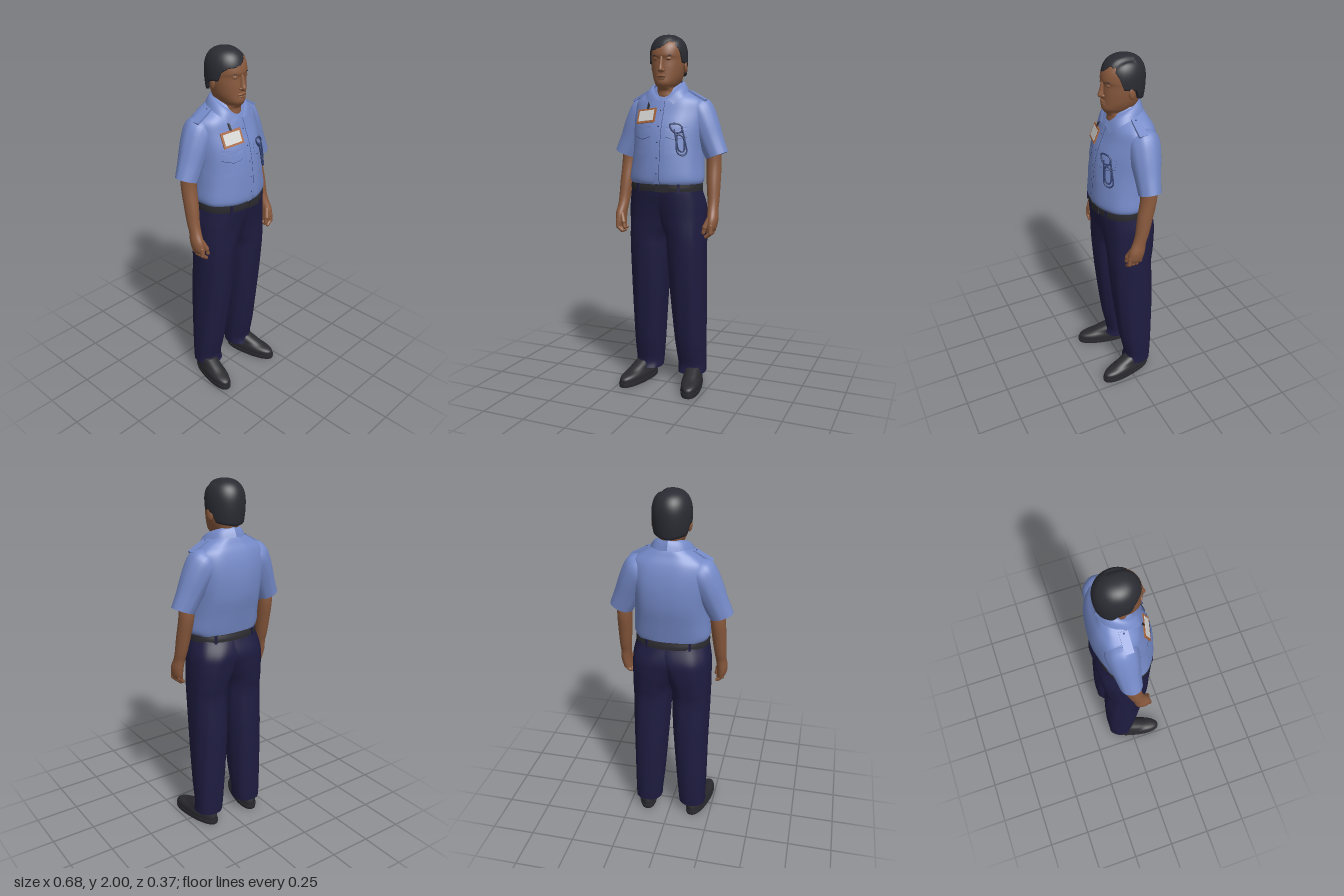
import * as THREE from 'three';

const mat = (name, color, side = THREE.FrontSide) => {
  const m = new THREE.MeshStandardMaterial({ color, side });
  m.name = name;
  return m;
};

// Ring from y, half width, front z, back z and centre x
const R = (y, rx, front, back, cx = 0) => [cx, y, (front + back) / 2, rx, (front - back) / 2, 0];
const mirrorRings = (rings, s) => rings.map(r => [r[0] * s, r[1], r[2], r[3], r[4], r[5] * s]);

// Smooth in-between rings through the given ones
function refine(rings, sub = 5) {
  const out = [];
  const at = i => rings[Math.min(Math.max(i, 0), rings.length - 1)];
  for (let i = 0; i < rings.length - 1; i++) {
    const [p, q, r, s] = [at(i - 1), at(i), at(i + 1), at(i + 2)];
    for (let k = 0; k < sub; k++) {
      const t = k / sub;
      out.push(q.map((b, c) => 0.5 * (2 * b + (r[c] - p[c]) * t + (2 * p[c] - 5 * b + 4 * r[c] - s[c]) * t * t
        + (3 * b - p[c] - 3 * r[c] + s[c]) * t * t * t)));
    }
  }
  out.push(rings[rings.length - 1]);
  return out;
}

// Grid surface from f(column, row); columns run anticlockwise seen from below, rows upward
function surface(nu, nv, f, wrap) {
  const pos = [], idx = [], cols = wrap ? nu : nu + 1;
  for (let j = 0; j <= nv; j++) for (let i = 0; i < cols; i++) pos.push(...f(i / nu, j / nv));
  for (let j = 0; j < nv; j++) for (let i = 0; i < nu; i++) {
    const a = j * cols + i, b = j * cols + (i + 1) % cols;
    idx.push(a, a + cols, b, b, a + cols, b + cols);
  }
  return { pos, idx };
}
function toGeometry({ pos, idx }) {
  const g = new THREE.BufferGeometry();
  g.setAttribute('position', new THREE.Float32BufferAttribute(pos, 3));
  g.setIndex(idx);
  g.computeVertexNormals();
  return g;
}

// Closed loft through rings listed from bottom to top; the back half may be squarer
function loft(rings, e = 2.2, fold = 0, n = 40, eBack = e) {
  const rs = refine(rings);
  const grid = surface(n, rs.length - 1, (u, v) => {
    const [cx, cy, cz, rx, rz, tilt] = rs[Math.round(v * (rs.length - 1))];
    const a = u * Math.PI * 2, c = Math.cos(a), s = Math.sin(a), q = 2 / (s < 0 ? eBack : e);
    const w = 1 + fold * Math.sin(9 * a + 7 * cy);
    const x = Math.sign(c) * Math.abs(c) ** q * rx * w;
    const z = Math.sign(s) * Math.abs(s) ** q * rz * w;
    return [cx + x * Math.cos(tilt), cy + x * Math.sin(tilt), cz + z];
  }, true);
  for (const top of [false, true]) {
    const start = top ? (rs.length - 1) * n : 0, r = rs[top ? rs.length - 1 : 0];
    const base = grid.pos.length / 3;
    grid.pos.push(...grid.pos.slice(start * 3, (start + n) * 3), r[0], r[1], r[2]);
    for (let i = 0; i < n; i++) {
      const a = base + i, b = base + (i + 1) % n;
      grid.idx.push(base + n, top ? b : a, top ? a : b);
    }
  }
  return toGeometry(grid);
}

export function createModel() {
  const root = new THREE.Group();
  root.name = 'uniformedMan';
  const D = THREE.DoubleSide;
  const shirt = mat('shirt blue', 0x758ac8, D), seam = mat('seam navy', 0x33416f, D);
  const navy = mat('trouser navy', 0x1e1c40), skin = mat('skin', 0x89593d);
  const shade = mat('dark skin', 0x63402a), hair = mat('hair black', 0x2b2c33, D);
  const leather = mat('black leather', 0x2a2a2f);
  const orange = mat('badge orange', 0xa9653c), white = mat('badge white', 0xd6d6d4);

  const add = (name, geo, m, p = [0, 0, 0], rot = [0, 0, 0], sc = [1, 1, 1]) => {
    const mesh = new THREE.Mesh(geo, m);
    mesh.name = name;
    mesh.position.set(...p);
    mesh.rotation.set(...rot);
    mesh.scale.set(...sc);
    root.add(mesh);
    return mesh;
  };
  const ball = new THREE.SphereGeometry(1, 20, 14);
  const blob = (name, m, p, sc, rot) => add(name, ball, m, p, rot, sc);
  const box = (name, m, size, p, rot) => add(name, new THREE.BoxGeometry(...size), m, p, rot);
  const capsule = (name, m, a, b, r) => {
    const A = new THREE.Vector3(...a), B = new THREE.Vector3(...b), d = B.clone().sub(A);
    const c = add(name, new THREE.CapsuleGeometry(r, d.length(), 5, 10), m, A.clone().add(B).multiplyScalar(0.5).toArray());
    c.quaternion.setFromUnitVectors(new THREE.Vector3(0, 1, 0), d.normalize());
  };

  // Shirt body
  const body = [R(1.185, 0.2, 0.147, -0.13), R(1.215, 0.213, 0.158, -0.137), R(1.3, 0.205, 0.155, -0.156),
    R(1.4, 0.2, 0.146, -0.178), R(1.5, 0.205, 0.126, -0.184), R(1.58, 0.208, 0.094, -0.176),
    R(1.64, 0.196, 0.072, -0.16), R(1.68, 0.146, 0.05, -0.14), R(1.71, 0.095, 0.035, -0.125), R(1.74, 0.066, 0, -0.1)];
  const chestE = 1.95;
  add('shirtBody', loft(body, chestE, 0.008, 72, 2.6), shirt);
  const fine = refine(body, 20);
  const chestZ = (x, y) => {
    const r = fine.reduce((a, b) => (Math.abs(b[1] - y) < Math.abs(a[1] - y) ? b : a));
    return r[2] + r[4] * Math.max(0, 1 - Math.abs(x / r[3]) ** chestE) ** (1 / chestE);
  };
  // Cloth patch lying on the chest
  const patch = (name, m, x0, x1, y0, y1, off, dip = 0) => add(name, toGeometry(surface(10, 14, (u, v) => {
    const x = x1 + (x0 - x1) * u, y = y0 + (y1 - y0) * v - (1 - v) * dip * (1 - Math.abs(2 * u - 1));
    return [x, y, chestZ(x, y) + off];
  })), m);
  patch('placket', shirt, -0.017, 0.017, 1.19, 1.64, 0.003);
  patch('placketSeam', seam, 0.016, 0.0185, 1.19, 1.64, 0.0035);
  for (let i = 0; i < 5; i++) {
    const y = 1.25 + i * 0.085;
    blob('shirtButton', seam, [0, y, chestZ(0, y) + 0.003], [0.004, 0.004, 0.002]);
  }

  // Collar half: a strip between the neck edge and the fallen edge
  const curve = pts => new THREE.CatmullRomCurve3(pts.map(p => new THREE.Vector3(...p)));
  const neckEdge = curve([[0, 1.765, -0.105], [0.06, 1.755, -0.075], [0.076, 1.735, -0.02], [0.06, 1.7, 0.045], [0.01, 1.645, 0.085]]);
  const fallEdge = curve([[0, 1.715, -0.14], [0.085, 1.7, -0.1], [0.118, 1.692, -0.015], [0.108, 1.662, 0.05], [0.07, 1.622, 0.083]]);

  for (const s of [1, -1]) {
    add('collarHalf', toGeometry(surface(24, 5, (u, v) => {
      const t = s > 0 ? 1 - u : u, p = fallEdge.getPoint(t).lerp(neckEdge.getPoint(t), v);
      return [p.x * s, p.y + 0.012 * Math.sin(v * Math.PI), p.z];
    })), shirt);
    // Chest pocket with flap
    const [xa, xb] = s > 0 ? [0.045, 0.15] : [-0.15, -0.045];
    patch('pocket', shirt, xa, xb, 1.34, 1.49, 0.003);
    patch('flapSeam', seam, xa - 0.001, xb + 0.001, 1.447, 1.5, 0.005, 0.015);
    patch('pocketFlap', shirt, xa - 0.002, xb + 0.002, 1.45, 1.502, 0.007, 0.015);
    // Shoulder strap
    box('shoulderStrap', shirt, [0.112, 0.012, 0.046], [s * 0.168, 1.669, -0.038], [0, 0, -0.5 * s]);
    blob('strapButton', seam, [s * 0.13, 1.696, -0.038], [0.005, 0.003, 0.005]);
    // Short sleeve
    add('sleeve', loft(mirrorRings([[0.278, 1.343, -0.048, 0.065, 0.059, 0.36], [0.242, 1.42, -0.054, 0.071, 0.068, 0.44],
      [0.202, 1.51, -0.06, 0.082, 0.081, 0.58], [0.163, 1.575, -0.064, 0.092, 0.085, 0.87],
      [0.12, 1.61, -0.063, 0.066, 0.068, 0.95]], s), 1.95, 0.012), shirt);
    // Arm and palm
    add('arm', loft(mirrorRings([[0.268, 0.925, 0.03, 0.02, 0.034, 0], [0.277, 0.955, 0.028, 0.027, 0.044, 0],
      [0.28, 1.0, 0.02, 0.03, 0.045, 0], [0.275, 1.05, 0.004, 0.03, 0.037, 0], [0.272, 1.1, -0.012, 0.033, 0.038, 0],
      [0.266, 1.19, -0.03, 0.038, 0.043, 0], [0.26, 1.3, -0.052, 0.041, 0.045, 0], [0.255, 1.4, -0.052, 0.042, 0.045, 0]], s), 2), skin);
    // Fingers and thumb
    for (let i = 0; i < 4; i++) {
      const z = 0.062 - i * 0.021, drop = i === 3 ? 0.012 : 0;
      capsule('fingerBase', skin, [s * 0.283, 0.965, z], [s * 0.281, 0.925 + drop, z + 0.003], 0.012);
      capsule('fingerTip', skin, [s * 0.281, 0.925 + drop, z + 0.003], [s * 0.256, 0.904 + drop, z + 0.003], 0.0105);
    }
    capsule('thumbBase', skin, [s * 0.266, 1.0, 0.046], [s * 0.248, 0.955, 0.063], 0.014);
    capsule('thumbTip', skin, [s * 0.248, 0.955, 0.063], [s * 0.241, 0.925, 0.064], 0.011);
    // Trouser half: leg and hip; the two halves overlap above the fork
    add('trouserHalf', loft([R(0.075, 0.08, 0.026, -0.14, s * 0.136), R(0.12, 0.081, 0.014, -0.143, s * 0.134),
      R(0.2, 0.086, 0.03, -0.147, s * 0.131), R(0.3, 0.091, 0.048, -0.15, s * 0.127), R(0.6, 0.103, 0.086, -0.152, s * 0.117),
      R(0.8, 0.109, 0.105, -0.142, s * 0.113), R(0.88, 0.113, 0.111, -0.15, s * 0.11),
      R(0.94, 0.126, 0.115, -0.158, s * 0.097), R(1.0, 0.142, 0.119, -0.165, s * 0.081), R(1.07, 0.166, 0.129, -0.168, s * 0.054),
      R(1.15, 0.184, 0.143, -0.143, s * 0.02), R(1.185, 0.185, 0.142, -0.13, s * 0.013)], 2.25, 0.01, 56), navy);
    // Shoe: sole and upper share one turned-out frame
    const place = [[s > 0 ? 0.163 : -0.172, 0, 0.021], [0, s > 0 ? 0.2 : -0.23, 0]];
    add('shoeSole', loft([R(0, 0.056, 0.168, -0.16), R(0.012, 0.058, 0.17, -0.163), R(0.024, 0.058, 0.17, -0.163)], 2.3), leather, ...place);
    add('shoeUpper', loft([R(0.02, 0.055, 0.164, -0.158), R(0.045, 0.056, 0.162, -0.158), R(0.06, 0.053, 0.14, -0.155),
      R(0.075, 0.049, 0.09, -0.15), R(0.095, 0.046, 0.045, -0.145), R(0.115, 0.04, 0.0, -0.135)], 2.2), leather, ...place);
    // Face and ear details
    blob('ear', skin, [s * 0.094, 1.825, -0.033], [0.011, 0.034, 0.02], [0.15, s * 0.3, 0]);
    blob('eyebrow', hair, [s * 0.038, 1.884, 0.0775], [0.02, 0.003, 0.005], [0, s * 0.3, -s * 0.1]);
    blob('eyelid', skin, [s * 0.036, 1.866, 0.073], [0.017, 0.01, 0.008], [0, s * 0.25, 0]);
    blob('eye', shade, [s * 0.036, 1.863, 0.077], [0.012, 0.003, 0.006], [0, s * 0.25, 0]);
    blob('nostril', skin, [s * 0.014, 1.805, 0.087], [0.008, 0.007, 0.01]);
  }

  // Belt with buckle and loops
  add('belt', loft([R(1.152, 0.207, 0.15, -0.146), R(1.17, 0.207, 0.152, -0.145), R(1.19, 0.205, 0.151, -0.14)], 2.2, 0, 56), leather);
  box('beltBuckle', leather, [0.075, 0.043, 0.01], [0.03, 1.171, 0.15], [0, 0.08, 0]);
  for (const x of [-0.12, 0.12]) for (const f of [1, -1]) {
    const z = 0.003 + f * 0.149 * (1 - Math.abs(x / 0.207) ** 2.2) ** (1 / 2.2);
    box('beltLoop', navy, [0.014, 0.048, 0.007], [x, 1.168, z], [0, f * x * 4, 0]);
  }

  // Head and neck
  add('head', loft([R(1.6, 0.06, 0.045, -0.09), R(1.66, 0.06, 0.06, -0.092), R(1.695, 0.059, 0.06, -0.094),
    R(1.712, 0.05, 0.076, -0.098), R(1.735, 0.063, 0.09, -0.105), R(1.77, 0.078, 0.088, -0.112),
    R(1.82, 0.088, 0.086, -0.12), R(1.862, 0.091, 0.084, -0.125), R(1.888, 0.091, 0.091, -0.125),
    R(1.93, 0.089, 0.081, -0.12), R(1.96, 0.074, 0.058, -0.1), R(1.98, 0.04, 0.02, -0.07)], 2.1), skin);
  add('nose', loft([R(1.793, 0.009, 0.098, 0.075), R(1.806, 0.015, 0.112, 0.065), R(1.832, 0.012, 0.104, 0.065),
    R(1.88, 0.009, 0.092, 0.07)], 2, 0, 16), skin);
  blob('upperLip', skin, [0, 1.775, 0.085], [0.028, 0.007, 0.01]);
  blob('mouthLine', shade, [0, 1.768, 0.085], [0.027, 0.002, 0.0085]);
  blob('lowerLip', skin, [0, 1.761, 0.085], [0.024, 0.007, 0.009]);

  // Hair cap: hangs from the crown to a hairline that depends on direction, parted on the left
  const hairline = d => {
    const keys = [[0, 1.925], [42, 1.92], [58, 1.9], [70, 1.845], [88, 1.842], [104, 1.835], [116, 1.785], [180, 1.768]];
    const k = Math.max(1, keys.findIndex(p => p[0] >= d)), [a, b] = [keys[k - 1], keys[k]];
    return a[1] + (b[1] - a[1]) * (d - a[0]) / (b[0] - a[0]);
  };
  add('hair', toGeometry(surface(72, 28, (u, v) => {
    const a = u * Math.PI * 2, dx = Math.cos(a), dz = Math.sin(a);
    const part = dz > 0 ? 0.04 * Math.min(1, dz / 0.5) * Math.exp(-(((dx - 0.5) / 0.32) ** 2)) : 0;
    const low = hairline(Math.min(180, Math.acos(dz) * 180 / Math.PI)) + part - (dx < 0 && dz > 0.5 ? 0.008 : 0);
    const w = Math.min(1, (1 - v) / 0.96), tuck = v < 0.02 ? 0.86 : 1;
    let y = low + (2 - low) * (1 - w * w);
    const t = (y - 1.875) / 0.125;
    const r = (t > 0 ? Math.max(0, 1 - t ** 2.5) ** 0.4 : 1 - 0.14 * t * t) * tuck;
    const x = -0.002 + dx * r * 0.104, z = -0.029 + dz * r * 0.117;
    if (z > -0.06) y -= 0.008 * Math.exp(-(((x - 0.055) / 0.012) ** 2));
    return [x, y, z];
  }, true)), hair);

  // Name badge on a clip
  const bz = chestZ(0.083, 1.56), tilt = [-0.4, -0.26, 0];
  box('badgeFrame', orange, [0.122, 0.082, 0.006], [-0.083, 1.56, bz + 0.007], tilt);
  box('badgeCard', white, [0.1, 0.06, 0.004], [-0.0835, 1.561, bz + 0.0095], tilt);
  box('badgeClip', leather, [0.012, 0.042, 0.006], [-0.08, 1.615, chestZ(0.08, 1.615) + 0.004], [-0.45, -0.2, 0]);

  // Folded spectacles hanging from the left pocket
  const loop = (name, pts, closed) => add(name, new THREE.TubeGeometry(new THREE.CatmullRomCurve3(
    pts.map(([x, y]) => new THREE.Vector3(x, y, chestZ(x, y) + 0.014)), closed), 60, 0.0045, 8, closed), seam);
  loop('spectacleFrame', [[0.068, 1.515], [0.11, 1.518], [0.13, 1.5], [0.125, 1.475], [0.09, 1.475]], true);
  loop('spectacleArm', [[0.092, 1.49], [0.105, 1.43], [0.115, 1.365], [0.14, 1.35], [0.155, 1.365], [0.145, 1.43], [0.128, 1.5]], false);
  loop('spectacleLens', [[0.11, 1.46], [0.135, 1.45], [0.145, 1.4], [0.14, 1.37], [0.12, 1.38]], true);
  return root;
}
